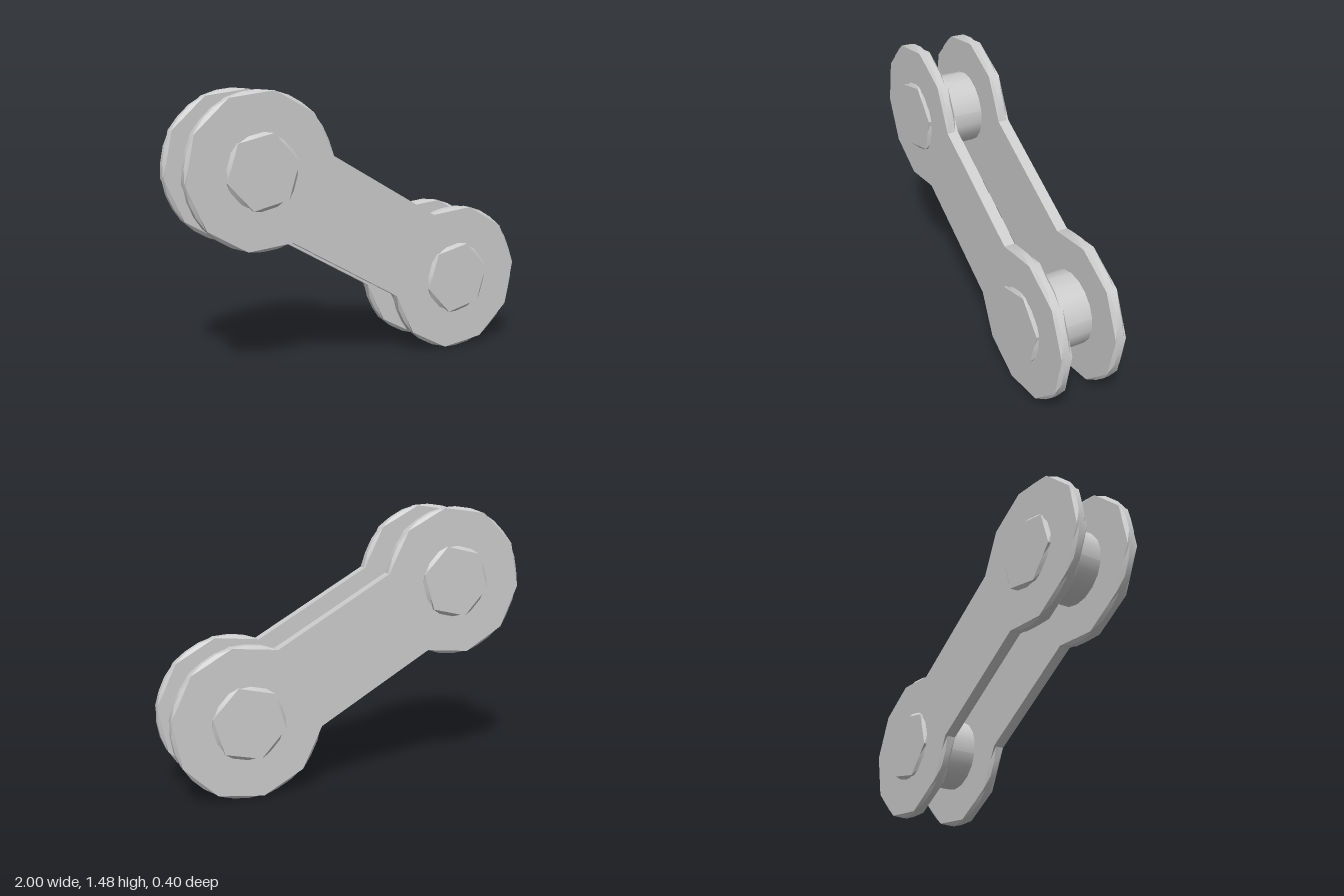
import * as THREE from 'three';
import { toCreasedNormals } from 'three/addons/utils/BufferGeometryUtils.js';

const RAD = Math.PI / 180;

// Extrudes a shape made of arcs; on both end faces two of every three arc
// points are pulled in onto the chord, giving coarse, chamfered faces.
function chamferedExtrude(arcs, radius, inner, step, half, chamfer) {
  const pts = [];
  for (const a of arcs) {
    for (let i = 0; i < a.count; i++) {
      const t = a.start + i * step;
      pts.push(new THREE.Vector2(a.x + radius * Math.cos(t), a.y + radius * Math.sin(t)));
    }
  }
  const levels = [-half, -half + chamfer, half - chamfer, half];
  const geo = new THREE.ExtrudeGeometry(new THREE.Shape(pts), { depth: 3, steps: 3, bevelEnabled: false });
  const pos = geo.attributes.position;
  for (let k = 0; k < pos.count; k++) {
    let x = pos.getX(k), y = pos.getY(k);
    const level = Math.round(pos.getZ(k));
    if (level === 0 || level === 3) {
      const a = arcs.reduce((p, q) =>
        Math.hypot(x - q.x, y - q.y) < Math.hypot(x - p.x, y - p.y) ? q : p);
      const turn = (Math.atan2(y - a.y, x - a.x) - a.start + 4 * Math.PI) % (2 * Math.PI);
      if (Math.round(turn / step) % 3 !== 0) {
        x = a.x + (x - a.x) * inner / radius;
        y = a.y + (y - a.y) * inner / radius;
      }
    }
    pos.setXYZ(k, x, y, levels[level]);
  }
  geo.computeVertexNormals();
  return toCreasedNormals(geo, 35 * RAD);
}

export function createModel() {
  const group = new THREE.Group();
  group.name = 'chainLink';
  const material = new THREE.MeshStandardMaterial({ color: 0xcccccc });
  const cx = 0.596, cy = 0.335, midY = 0.741;

  // Side plates: two round eyes joined by a straight web
  const eyes = [
    { x: -cx, y: cy, start: 8.5 * RAD, count: 25 },
    { x: cx, y: -cy, start: 188.5 * RAD, count: 25 },
  ];
  const plateGeo = chamferedExtrude(eyes, 0.405, 0.388, (285 / 24) * RAD, 0.03, 0.015);
  for (const [name, z] of [['frontPlate', 0.155], ['backPlate', -0.155]]) {
    const plate = new THREE.Mesh(plateGeo, material);
    plate.name = name;
    plate.position.set(0, midY, z);
    group.add(plate);
  }

  // Pins through both eyes, with hexagonal end faces
  const pinGeo = chamferedExtrude([{ x: 0, y: 0, start: 13 * RAD, count: 18 }], 0.2, 0.176, 20 * RAD, 0.2, 0.02);
  for (const [name, s] of [['upperPin', -1], ['lowerPin', 1]]) {
    const pin = new THREE.Mesh(pinGeo, material);
    pin.name = name;
    pin.position.set(s * cx, midY - s * cy, 0);
    group.add(pin);
  }
  return group;
}
